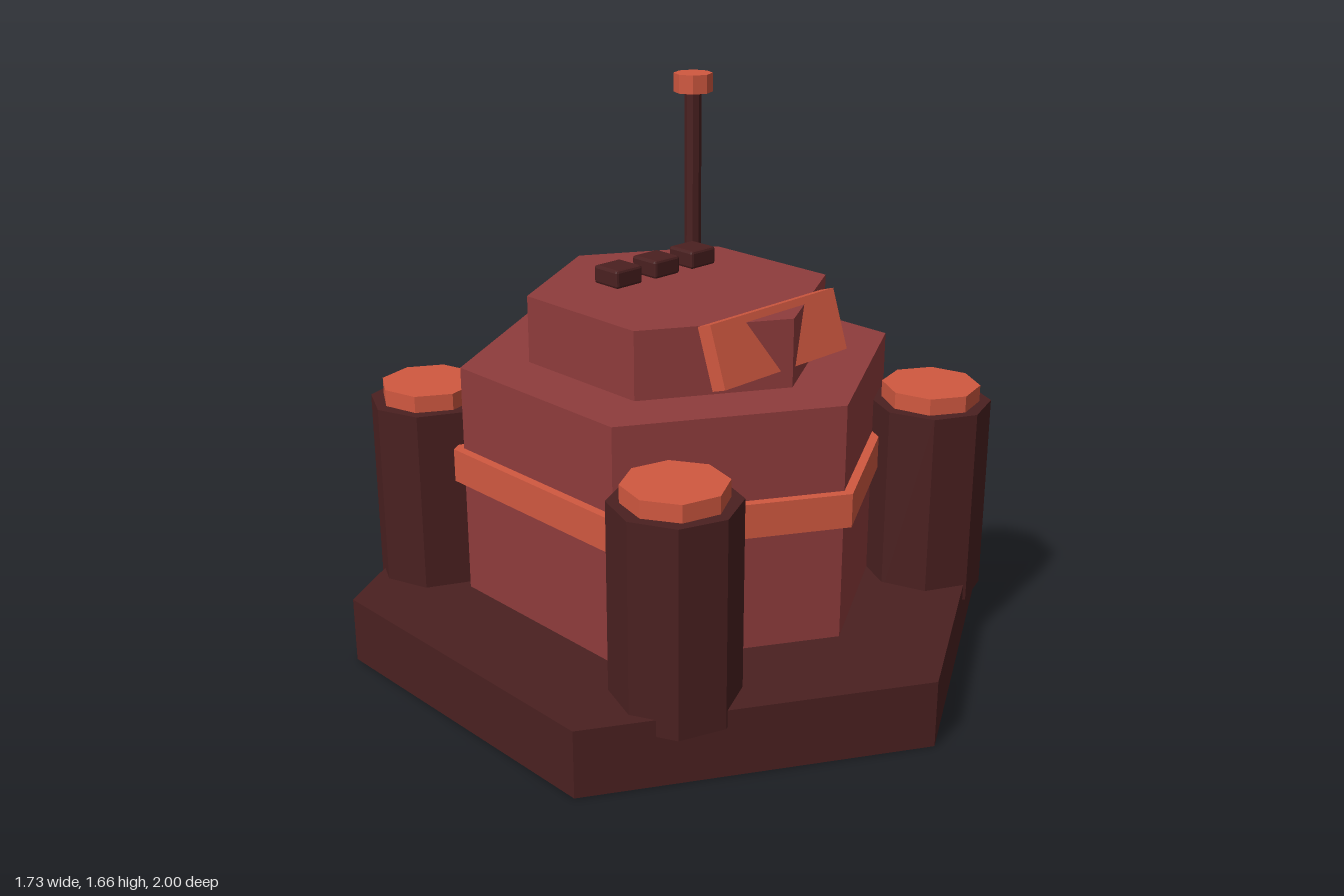
import * as THREE from 'three';
import { RoundedBoxGeometry } from 'three/addons/geometries/RoundedBoxGeometry.js';

export function createModel() {
  const model = new THREE.Group();
  model.name = 'bunker';

  const paint = (name, color) => {
    const m = new THREE.MeshStandardMaterial({ color });
    m.name = name;
    m.flatShading = true;
    return m;
  };
  const darkMaroon = paint('dark maroon', 0x4a2020);
  const red = paint('brick red', 0x8f3c3c);
  const orange = paint('burnt orange', 0xd05840);

  const add = (name, geometry, material, x, y, z) => {
    const mesh = new THREE.Mesh(geometry, material);
    mesh.name = name;
    mesh.position.set(x, y, z);
    model.add(mesh);
    return mesh;
  };

  // Upright prism between two heights
  const prism = (name, material, radius, y0, y1, sides, x = 0, z = 0, turn = 0) => {
    const geometry = new THREE.CylinderGeometry(radius, radius, y1 - y0, sides);
    const mesh = add(name, geometry, material, x, (y0 + y1) / 2, z);
    mesh.rotation.y = turn;
    return mesh;
  };

  // Stacked hexagonal body
  prism('base', darkMaroon, 1, 0, 0.2, 6);
  prism('body', red, 0.65, 0.2, 0.9, 6);
  prism('band', orange, 0.68, 0.55, 0.65, 6);
  prism('upperDeck', red, 0.45, 0.9, 1.1, 6);

  // Corner towers with caps
  for (const sx of [-1, 1]) {
    for (const sz of [-1, 1]) {
      const x = 0.53 * sx, z = 0.53 * sz;
      prism('tower', darkMaroon, 0.18, 0.15, 0.75, 8, x, z, -0.06 * sx * sz);
      prism('towerCap', orange, 0.145, 0.75, 0.8, 8, x, z, -0.14 * sx * sz);
    }
  }

  // Tilted visor, pierced by the front corner of the upper deck
  const visor = add('visor', new THREE.BoxGeometry(0.5, 0.18, 0.05), orange, 0, 1.027, 0.38);
  visor.rotation.x = -0.33;

  // Row of buttons on the roof
  for (const x of [-0.15, 0, 0.15]) {
    add('button', new RoundedBoxGeometry(0.1, 0.055, 0.1, 1, 0.008), darkMaroon, x, 1.143, -0.1);
  }

  // Antenna
  prism('antennaPole', darkMaroon, 0.026, 1.1, 1.6, 8, 0.3, -0.25);
  prism('antennaTip', orange, 0.06, 1.6, 1.657, 8, 0.3, -0.25);

  return model;
}
